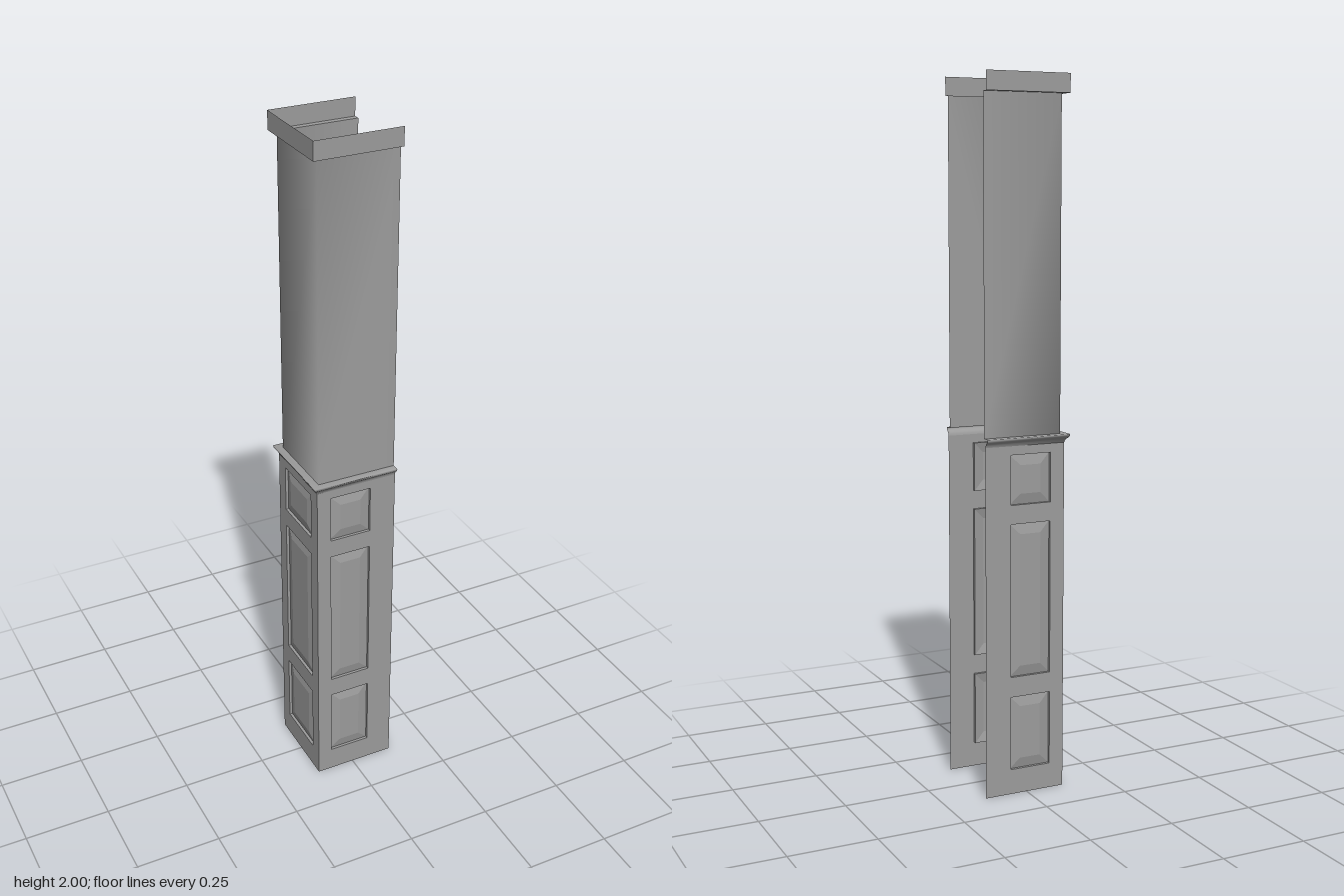
import * as THREE from 'three';
import { mergeVertices } from 'three/addons/utils/BufferGeometryUtils.js';

const END = 0.1265;              // open edge of the two long walls
const SHAFT_X = 0.1065;          // shaft wall distance from the centre, on -x
const SHAFT_Z = 0.1155;          // shaft half depth
const BASE_OUT = 0.0085;         // how far the base stands out from the shaft
const BASE_TOP = 0.998;
const PANELS = [[0.072, 0.284], [0.342, 0.779], [0.833, 0.973]];

const material = new THREE.MeshStandardMaterial({ color: 0x9c9c9c, side: THREE.DoubleSide });

function quadGeometry(quads, smooth = false) {
  const pos = [];
  for (const [a, b, c, d] of quads) pos.push(...a, ...b, ...c, ...a, ...c, ...d);
  let g = new THREE.BufferGeometry();
  g.setAttribute('position', new THREE.Float32BufferAttribute(pos, 3));
  if (smooth) g = mergeVertices(g, 1e-5);
  g.computeVertexNormals();
  return g;
}

function mesh(name, geometry) {
  const m = new THREE.Mesh(geometry, material);
  m.name = name;
  return m;
}

// Sweep a profile of [outward offset, height] points, listed upwards, around the three walls
function sweepWalls(name, profile, smooth) {
  const path = ([o, y]) => {
    const x = -SHAFT_X - o, z = SHAFT_Z + o;
    return [[END, y, -z], [x, y, -z], [x, y, z], [END, y, z]];
  };
  const quads = [];
  for (let i = 0; i < profile.length - 1; i++) {
    const lo = path(profile[i]), hi = path(profile[i + 1]);
    for (let j = 0; j < 3; j++) quads.push([lo[j], lo[j + 1], hi[j + 1], hi[j]]);
  }
  return mesh(name, quadGeometry(quads, smooth));
}

// Raised panel: step back from the wall, then a bevel rising to a flat field
function raisedPanel(cx, halfW, y0, y1) {
  const ring = ([inset, z]) => {
    const w = halfW - inset;
    return [[cx - w, y0 + inset, z], [cx + w, y0 + inset, z],
      [cx + w, y1 - inset, z], [cx - w, y1 - inset, z]];
  };
  const rings = [[0, 0], [0, -BASE_OUT], [0.03, -0.002]].map(ring);
  const quads = [rings[2]];
  for (let i = 0; i < 2; i++) {
    for (let j = 0; j < 4; j++) {
      const k = (j + 1) % 4;
      quads.push([rings[i][j], rings[i][k], rings[i + 1][k], rings[i + 1][j]]);
    }
  }
  return mesh('raisedPanel', quadGeometry(quads));
}

// Base wall facing local +z, with an opening for each panel
function baseWall(name, x0, x1, cx, halfW) {
  const group = new THREE.Group();
  group.name = name;
  const rect = (S, a, b, c, d) => new S([[a, c], [b, c], [b, d], [a, d]].map(p => new THREE.Vector2(...p)));
  const shape = rect(THREE.Shape, x0, x1, 0, BASE_TOP);
  for (const [y0, y1] of PANELS) {
    shape.holes.push(rect(THREE.Path, cx - halfW, cx + halfW, y0, y1));
    group.add(raisedPanel(cx, halfW, y0, y1));
  }
  group.add(mesh('panelFrame', new THREE.ShapeGeometry(shape)));
  return group;
}

export function createModel() {
  const model = new THREE.Group();
  model.name = 'columnCover';
  const baseX = SHAFT_X + BASE_OUT, baseZ = SHAFT_Z + BASE_OUT;

  // Panelled base
  const front = baseWall('frontBaseWall', -baseX, END, -0.0115, 0.061);
  front.position.z = baseZ;
  const back = baseWall('backBaseWall', -END, baseX, 0.0115, 0.061);
  back.rotation.y = Math.PI;
  back.position.z = -baseZ;
  const side = baseWall('sideBaseWall', -baseZ, baseZ, 0, 0.083);
  side.rotation.y = -Math.PI / 2;
  side.position.x = -baseX;
  model.add(front, back, side);

  // Moulded rail, plain shaft with softly shaded corners, and boxed crown
  model.add(sweepWalls('railMoulding', [
    [BASE_OUT, BASE_TOP], [0.0095, 1.003], [0.0125, 1.008], [0.0175, 1.0125],
    [0.0205, 1.0165], [0.021, 1.022], [0, 1.022]], true));
  model.add(sweepWalls('shaft', [[0, 1.022], [0, 1.948]], true));
  model.add(sweepWalls('crown', [[0, 1.948], [0.0175, 1.948], [0.0175, 2]], false));
  return model;
}
